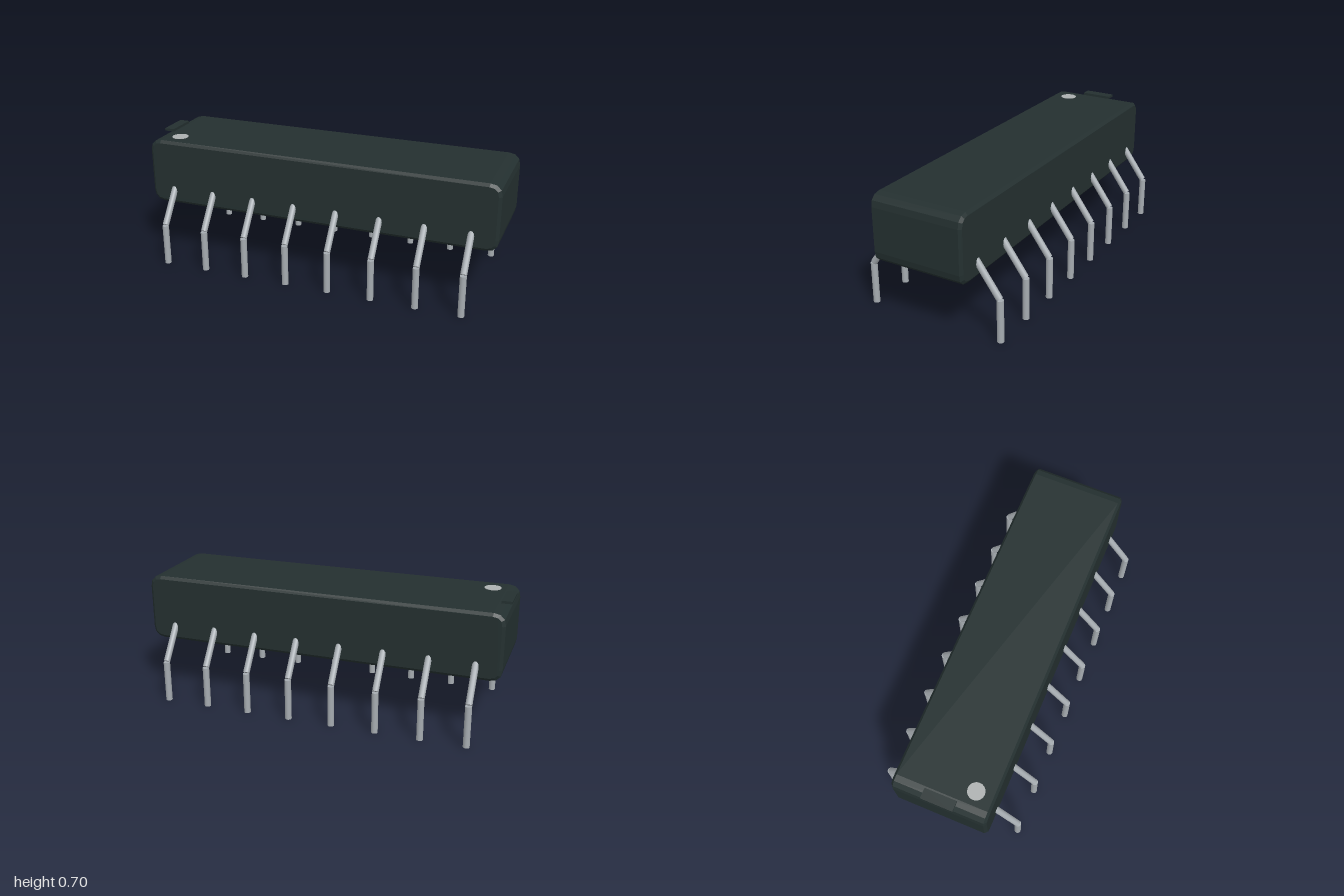
import * as THREE from 'three';

const bodyMat = new THREE.MeshStandardMaterial({ name: 'dark casing', color: 0x243030 });
const pinMat = new THREE.MeshStandardMaterial({ name: 'pin metal', color: 0xa6acb1 });
const dotMat = new THREE.MeshStandardMaterial({ name: 'marker grey', color: 0xacb0b0 });

function add(parent, name, geometry, material, x = 0, y = 0, z = 0) {
  const mesh = new THREE.Mesh(geometry, material);
  mesh.name = name;
  mesh.position.set(x, y, z);
  parent.add(mesh);
  return mesh;
}

// Rectangle with softened corners, centred on the origin
function softRect(w, h, r) {
  const s = new THREE.Shape();
  s.moveTo(-w + r, -h);
  s.lineTo(w - r, -h);
  s.quadraticCurveTo(w, -h, w, -h + r);
  s.lineTo(w, h - r);
  s.quadraticCurveTo(w, h, w - r, h);
  s.lineTo(-w + r, h);
  s.quadraticCurveTo(-w, h, -w, h - r);
  s.lineTo(-w, -h + r);
  s.quadraticCurveTo(-w, -h, -w + r, -h);
  return s;
}

// Round rod between two points in the x = 0 plane
function rod(parent, name, a, b, radius) {
  const dir = b.clone().sub(a);
  const mesh = add(parent, name, new THREE.CylinderGeometry(radius, radius, dir.length(), 12), pinMat);
  mesh.position.copy(a).add(b).multiplyScalar(0.5);
  mesh.quaternion.setFromUnitVectors(new THREE.Vector3(0, 1, 0), dir.normalize());
  return mesh;
}

function makePin() {
  const pin = new THREE.Group();
  pin.name = 'pin';
  rod(pin, 'pinLeg', new THREE.Vector3(0, 0, 0.38), new THREE.Vector3(0, 0.231, 0.38), 0.018);
  rod(pin, 'pinShoulder', new THREE.Vector3(0, 0.235, 0.377), new THREE.Vector3(0, 0.437, 0.231), 0.018);
  return pin;
}

export function createModel() {
  const model = new THREE.Group();
  model.name = 'chipPackage';

  // Casing with a small chamfer on the front and back
  const casing = new THREE.ExtrudeGeometry(softRect(0.981, 0.167, 0.05), {
    depth: 0.494, bevelEnabled: true, bevelSize: 0.016, bevelThickness: 0.013,
    bevelSegments: 1, curveSegments: 3,
  });
  casing.translate(0, 0, -0.247);
  add(model, 'casing', casing, bodyMat, 0, 0.508, 0);

  // Orientation tab and marker on top
  add(model, 'orientationTab', new THREE.BoxGeometry(0.057, 0.014, 0.175), bodyMat, -0.9715, 0.698, 0);
  add(model, 'markerDot', new THREE.CylinderGeometry(0.046, 0.046, 0.004, 20), dotMat, -0.86, 0.691, 0.155);

  // Two rows of eight bent pins
  for (const side of [1, -1]) {
    for (let i = 0; i < 8; i++) {
      const pin = makePin();
      pin.position.x = -0.86 + i * 0.245;
      if (side < 0) pin.rotation.y = Math.PI;
      model.add(pin);
    }
  }
  return model;
}
